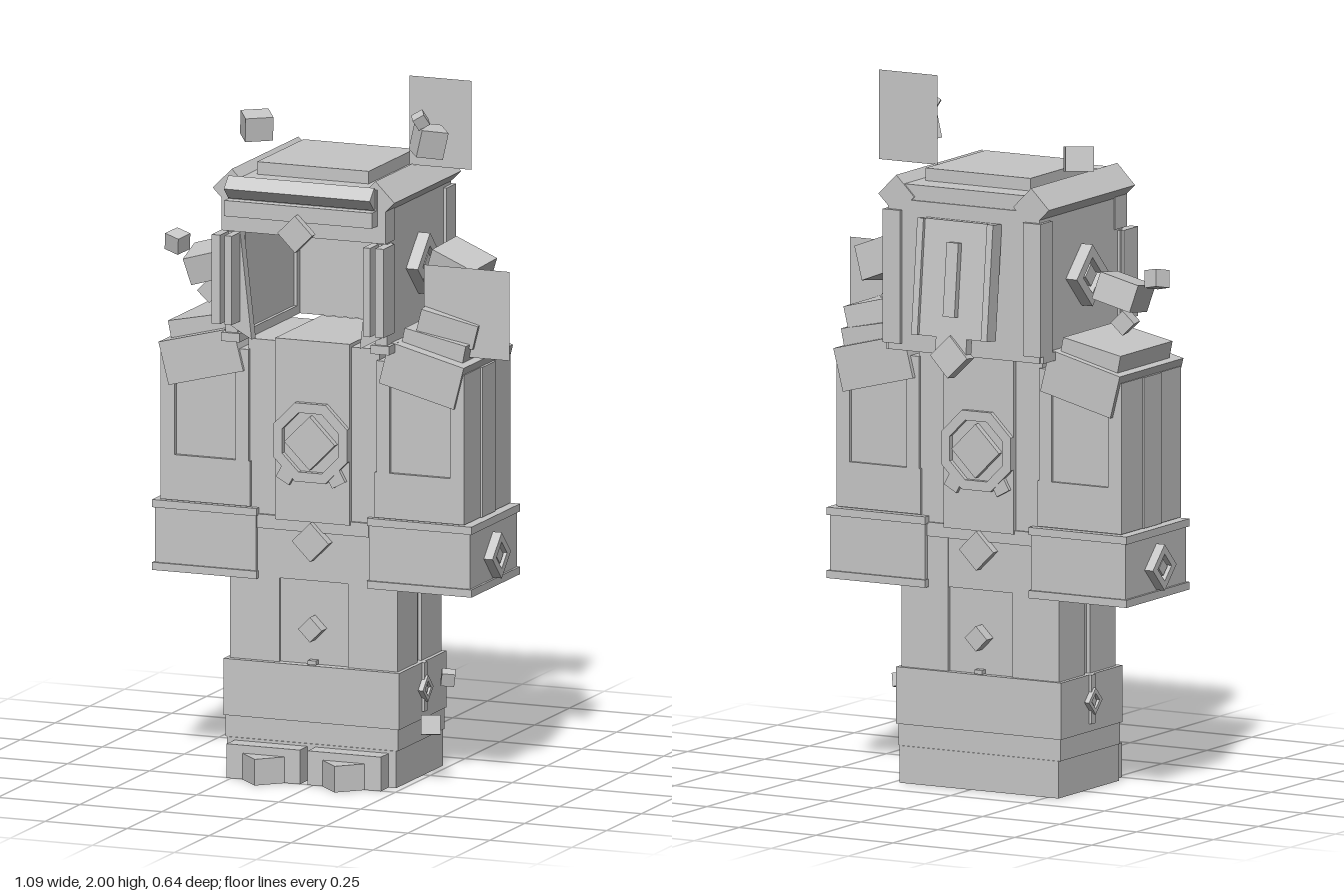
import * as THREE from 'three';

const steel = new THREE.MeshStandardMaterial({ color: 0xc6c6c6, side: THREE.DoubleSide });
steel.name = 'steelGrey';
const ZC = 0.026; // middle of the body in depth
const R45 = Math.PI / 4;

function mesh(parent, name, geo, pos = [0, 0, 0], rot = [0, 0, 0]) {
  const m = new THREE.Mesh(geo, steel);
  m.name = name;
  m.position.set(...pos);
  m.rotation.set(...rot);
  parent.add(m);
  return m;
}
const block = (p, name, size, pos, rot) => mesh(p, name, new THREE.BoxGeometry(...size), pos, rot);
// Box given by its limits
const span = (p, name, x0, x1, y0, y1, z0, z1) =>
  block(p, name, [x1 - x0, y1 - y0, z1 - z0], [(x0 + x1) / 2, (y0 + y1) / 2, (z0 + z1) / 2]);
// Same, with x measured outward on side s
const sideSpan = (p, s) => (name, x0, x1, ...r) =>
  span(p, name, Math.min(s * x0, s * x1), Math.max(s * x0, s * x1), ...r);

// Regular ring or plate facing +z
function plate(sides, r, depth, hole = 0) {
  const pts = (rad) => Array.from({ length: sides }, (_, i) => {
    const a = (i + (sides === 8 ? 0.5 : 0)) * 2 * Math.PI / sides;
    return new THREE.Vector2(Math.cos(a) * rad, Math.sin(a) * rad);
  });
  const s = new THREE.Shape(pts(r));
  if (hole) s.holes.push(new THREE.Path(pts(hole)));
  const g = new THREE.ExtrudeGeometry(s, { depth, bevelEnabled: false });
  return g.translate(0, 0, -depth / 2);
}
// Diamond in a raised frame on a side wall
function sideDiamond(p, name, x, y, z, r) {
  mesh(p, name + 'Frame', plate(4, r, 0.04, r * 0.58), [x, y, z], [0, Math.PI / 2, 0]);
  mesh(p, name + 'Gem', plate(4, r * 0.36, 0.03), [x, y, z], [0, Math.PI / 2, 0]);
}

function buildTorso(body) {
  span(body, 'torso', -0.2, 0.2, 0.57, 1.25, -0.13, 0.18);
  span(body, 'chestPanel', -0.114, 0.114, 0.74, 1.26, -0.142, 0.192);
  span(body, 'waistBelt', -0.17, 0.17, 0.71, 0.75, -0.137, 0.188);
  span(body, 'skirtPanel', -0.105, 0.105, 0.33, 0.74, -0.122, 0.172);
  for (const f of [1, -1]) {
    const z = (d) => ZC + f * d;
    mesh(body, 'chestMedallionRing', plate(8, 0.122, 0.022, 0.092), [0, 0.97, z(0.172)]);
    mesh(body, 'chestGem', plate(4, 0.077, 0.036), [0, 0.97, z(0.169)]);
    for (const s of [1, -1])
      block(body, 'medallionSpike', [0.045, 0.045, 0.02], [s * 0.075, 0.875, z(0.17)], [0, 0, 0.5 * s]);
    mesh(body, 'beltGem', plate(4, 0.056, 0.03), [0, 0.685, z(0.167)]);
    mesh(body, 'skirtGem', plate(4, 0.036, 0.04), [0, 0.435, z(0.164)]);
    block(body, 'skirtStud', [0.025, 0.012, 0.02], [0, 0.338, z(0.16)]);
  }
}

function buildArm(body, s) {
  const g = new THREE.Group();
  g.name = s > 0 ? 'leftArm' : 'rightArm';
  body.add(g);
  const sp = sideSpan(g, s);
  sp('upperArm', 0.19, 0.455, 0.75, 1.22, -0.13, 0.18);
  sp('armFrameBottom', 0.19, 0.463, 0.77, 0.9, -0.14, 0.192);
  sp('armFrameInner', 0.195, 0.235, 0.77, 1.22, -0.14, 0.192);
  for (const z of [-0.14, 0.074]) sp('armSidePlate', 0.42, 0.463, 0.77, 1.2, z, z + 0.118);
  sp('armSideStrip', 0.42, 0.468, 0.77, 1.2, -0.022, 0.074);
  // Gauntlet with trim bands
  sp('gauntlet', 0.172, 0.48, 0.57, 0.765, -0.146, 0.19);
  for (const y of [0.565, 0.745]) sp('gauntletTrim', 0.168, 0.487, y, y + 0.022, -0.153, 0.197);
  sideDiamond(g, 'gauntlet', s * 0.487, 0.655, ZC, 0.066);
  // Tilted shoulder guard
  block(g, 'shoulderGuard', [0.235, 0.125, 0.355], [s * 0.336, 1.19, 0.024], [0, 0, -s * 0.25]);
  block(g, 'shoulderCap', [0.19, 0.06, 0.29], [s * 0.355, 1.265, 0.015], [0, 0, -s * 0.2]);
}

function buildLeg(body, s) {
  const g = new THREE.Group();
  g.name = s > 0 ? 'leftLeg' : 'rightLeg';
  body.add(g);
  const sp = sideSpan(g, s);
  sp('thigh', 0, 0.245, 0.1, 0.6, -0.118, 0.168);
  sp('thighFrontPlate', 0.105, 0.24, 0.33, 0.72, -0.132, 0.182);
  for (const z of [-0.132, 0.04]) sp('thighSidePlate', 0.15, 0.256, 0.33, 0.6, z, z + 0.142);
  sp('bootCuff', 0, 0.268, 0.168, 0.33, -0.142, 0.2);
  sp('bootAnkle', 0, 0.263, 0.106, 0.168, -0.137, 0.195);
  sp('bootSole', 0, 0.258, 0, 0.106, -0.14, 0.198);
  sp('bootToe', 0.012, 0.235, 0, 0.098, 0.15, 0.254);
  block(g, 'toePoint', [0.09, 0.075, 0.09], [s * 0.122, 0.0375, 0.256], [0, R45, 0]);
  sideDiamond(g, 'boot', s * 0.263, 0.255, ZC, 0.038);
  block(g, 'bootSideStrip', [0.02, 0.14, 0.022], [s * 0.266, 0.26, ZC]);
}

function buildHelmet(body) {
  const g = new THREE.Group();
  g.name = 'helmet';
  body.add(g);
  // Hollow shell, open in front and below
  span(g, 'helmetBack', -0.24, 0.24, 1.25, 1.68, -0.225, -0.19);
  span(g, 'helmetCrown', -0.225, 0.225, 1.66, 1.724, -0.22, 0.265);
  span(g, 'crownPlate', -0.17, 0.17, 1.72, 1.76, -0.145, 0.188);
  span(g, 'brow', -0.25, 0.25, 1.57, 1.68, 0.19, 0.255);
  span(g, 'browRidge', -0.225, 0.225, 1.62, 1.665, 0.24, 0.295);
  mesh(g, 'browGem', plate(4, 0.053, 0.025), [0, 1.59, 0.306]);
  block(g, 'frontRim', [0.445, 0.046, 0.046], [0, 1.7, 0.272], [R45, 0, 0]);
  for (const s of [1, -1]) {
    const sp = sideSpan(g, s);
    sp('helmetSide', 0.21, 0.246, 1.25, 1.68, -0.225, 0.235);
    sp('helmetRearTrim', 0.2, 0.256, 1.27, 1.65, -0.237, -0.17);
    sp('helmetSideTrim', 0.2, 0.256, 1.25, 1.275, -0.22, 0.245);
    block(g, 'sideRim', [0.082, 0.082, 0.48], [s * 0.219, 1.69, 0.015], [0, 0, R45]);
    // Cheek guard, wider at its foot
    const cheek = new THREE.Shape([[0.255, 1.31], [0.165, 1.26], [0.2, 1.565], [0.255, 1.565]]
      .map(([x, y]) => new THREE.Vector2(s * x, y)));
    mesh(g, 'cheekPlate', new THREE.ExtrudeGeometry(cheek, { depth: 0.03, bevelEnabled: false }), [0, 0, 0.21]);
    sp('cheekBar', 0.2, 0.222, 1.31, 1.565, 0.2, 0.3);
    sp('cheekBarOuter', 0.236, 0.262, 1.31, 1.565, 0.22, 0.298);
    sideDiamond(g, 'helmetSide', s * 0.262, 1.47, 0.01, 0.088);
  }
  // Hanging plate behind the helmet
  const tail = new THREE.Group();
  tail.name = 'backPlate';
  tail.position.set(0, 1.475, -0.262);
  tail.rotation.x = 0.105;
  g.add(tail);
  block(tail, 'backSlab', [0.235, 0.33, 0.035], [0, 0, 0]);
  for (const s of [1, -1]) block(tail, 'backSlabEdge', [0.02, 0.33, 0.05], [s * 0.113, 0, -0.003]);
  block(tail, 'backSlabRidge', [0.038, 0.21, 0.03], [0, 0, -0.022]);
  block(tail, 'backTipNeck', [0.1, 0.06, 0.03], [0, -0.19, 0]);
  mesh(tail, 'backTip', plate(4, 0.06, 0.04), [0, -0.218, -0.005]);
}

export function createModel() {
  const model = new THREE.Group();
  model.name = 'armourSuit';
  const body = new THREE.Group();
  body.name = 'armour';
  body.position.x = -0.028;
  model.add(body);
  buildTorso(body);
  for (const s of [1, -1]) {
    buildArm(body, s);
    buildLeg(body, s);
  }
  buildHelmet(body);

  // Floating shards: size, position, rotation
  const shards = [
    [[0.08, 0.07, 0.07], [-0.3, 1.81, -0.05], [0.2, 0.6, -0.1]],
    [[0.05, 0.05, 0.05], [-0.51, 1.475, 0.025], [0.2, -0.35, -0.15]],
    [[0.12, 0.08, 0.135], [-0.405, 1.43, 0.02], [0.15, 0.15, 0.25]],
    [[0.05, 0.05, 0.05], [-0.41, 1.345, 0.02], [0, 0.2, R45]],
    [[0.08, 0.08, 0.07], [0.275, 1.835, 0.07], [0.2, 0.7, -0.3]],
    [[0.036, 0.036, 0.036], [0.263, 1.9, 0.1], [0.3, 0.5, 0.4]],
    [[0.14, 0.1, 0.13], [0.35, 1.465, 0.02], [0.12, -0.15, -0.35]],
    [[0.05, 0.05, 0.05], [0.35, 1.355, 0.025], [0.5, 0.5, 0.2]],
    [[0.17, 0.07, 0.26], [0.345, 1.32, 0.012], [0.04, 0.12, -0.25]],
    [[0.038, 0.038, 0.038], [0.285, 0.275, -0.045], [0.25, 0.4, -0.2]],
    [[0.055, 0.055, 0.055], [0.29, 0.165, 0.09], [-0.25, 0.4, 0.1]],
  ];
  for (const [size, pos, rot] of shards) block(model, 'floatingShard', size, pos, rot);

  // Thin floating sheets
  mesh(model, 'upperSheet', new THREE.PlaneGeometry(0.19, 0.255), [0.277, 1.8725, -0.01]);
  mesh(model, 'lowerSheet', new THREE.PlaneGeometry(0.26, 0.255), [0.41, 1.3625, 0.115]);
  return model;
}
